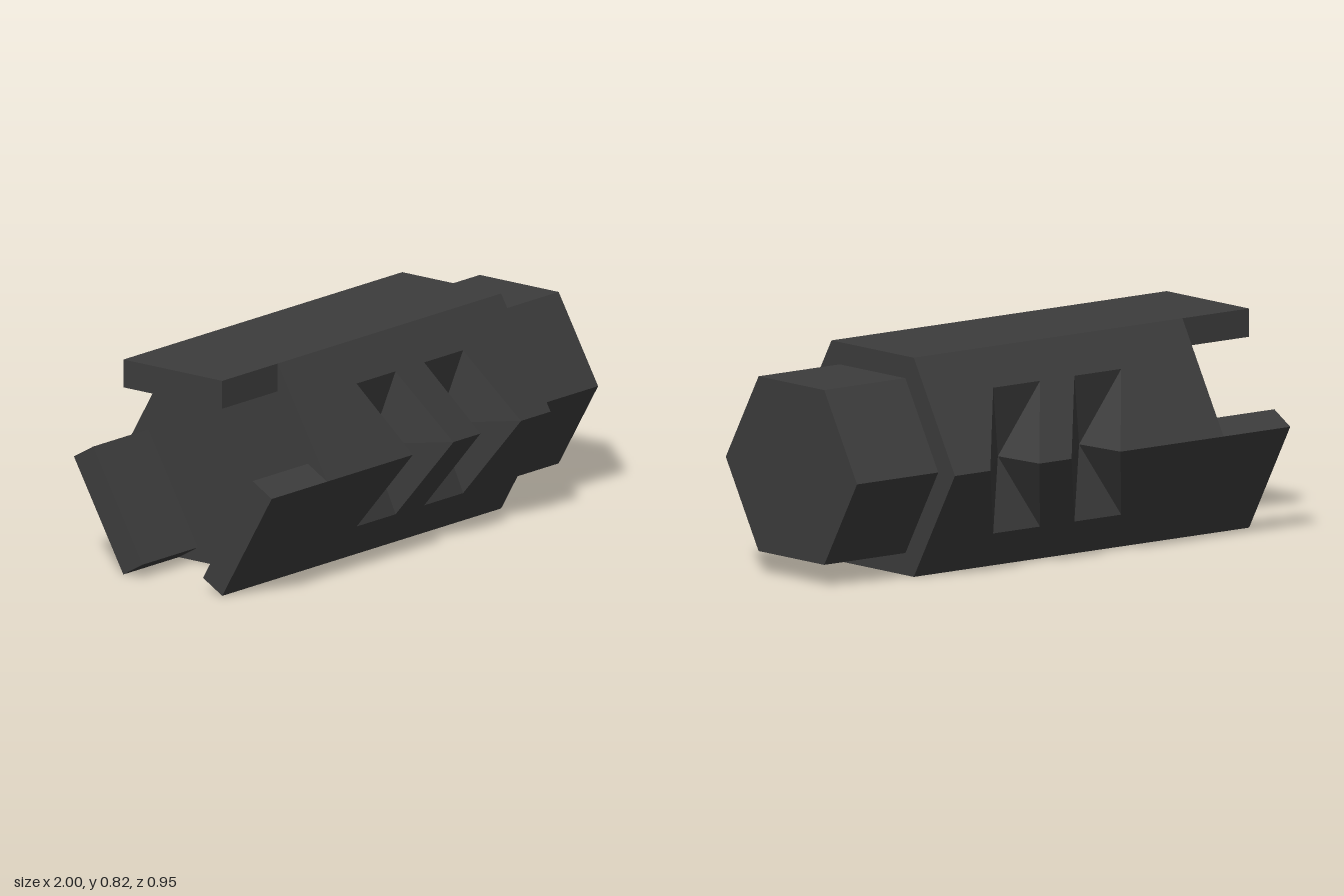
import * as THREE from 'three';

const R = 0.474;                 // hexagon corner radius of the body
const H = R * Math.sqrt(3) / 2;  // centre to flat
const X0 = -0.68, X1 = 0.61;     // solid part of the body
const SHIFTS = [0, 0.39];        // positions of the two notches

const dark = new THREE.MeshStandardMaterial({ color: 0x3c3c3c });
dark.name = 'darkGrey';

function add(parent, geometry, name) {
  const mesh = new THREE.Mesh(geometry, dark);
  mesh.name = name;
  parent.add(mesh);
  return mesh;
}

// Triangles from corner points, mirrored in y and z, with flat normals
function mirrored(triangles, sy, sz) {
  const pos = [];
  for (const t of triangles) {
    const corners = sy * sz < 0 ? [t[0], t[2], t[1]] : t;
    for (const [x, y, z] of corners) pos.push(x, y * sy, z * sz);
  }
  const g = new THREE.BufferGeometry();
  g.setAttribute('position', new THREE.Float32BufferAttribute(pos, 3));
  g.computeVertexNormals();
  return g;
}

// Height on a slanted side gives its depth
const onSide = (x, y) => [x, y, R - y / Math.sqrt(3)];

// Slanted side with two notch openings cut from its corner edge
function sideTriangles() {
  const outline = [[X0, 0]];
  for (const s of SHIFTS) {
    outline.push([-0.185 + s, 0], [-0.32 + s, 0.273], [-0.095 + s, 0.273], [0.05 + s, 0]);
  }
  outline.push([X1, 0], [X1, H], [X0, H]);
  const pts = outline.map(([x, y]) => new THREE.Vector2(x, y));
  return THREE.ShapeUtils.triangulateShape(pts, []).map((f) => {
    const t = f.map((i) => pts[i]);
    const area = (t[1].x - t[0].x) * (t[2].y - t[0].y) - (t[2].x - t[0].x) * (t[1].y - t[0].y);
    if (area < 0) t.reverse();
    return t.map((p) => onSide(p.x, p.y));
  });
}

// Half of one chevron notch: three faces running down to a deep point
function notchTriangles(s) {
  const a = onSide(-0.32 + s, 0.273);
  const b = onSide(-0.095 + s, 0.273);
  const d = onSide(-0.185 + s, 0);
  const e = onSide(0.05 + s, 0);
  const c = [-0.167 + s, 0, 0.257];
  return [[a, c, b], [b, c, e], [d, c, a]];
}

export function createModel() {
  const model = new THREE.Group();
  model.name = 'hexCoupling';
  const parts = new THREE.Group();
  parts.name = 'coupling';
  parts.position.y = H;
  model.add(parts);

  // Four slanted sides and their chevron notches
  const body = new THREE.Group();
  body.name = 'body';
  parts.add(body);
  const side = sideTriangles();
  for (const sy of [1, -1]) {
    for (const sz of [1, -1]) {
      add(body, mirrored(side, sy, sz), 'slantedSide');
      for (const s of SHIFTS) add(body, mirrored(notchTriangles(s), sy, sz), 'chevronNotch');
    }
    // Flat top and bottom
    const flat = add(body, new THREE.PlaneGeometry(X1 - X0, R), sy > 0 ? 'topFace' : 'bottomFace');
    flat.rotation.x = -sy * Math.PI / 2;
    flat.position.set((X0 + X1) / 2, sy * H, 0);
    // Hexagonal ends
    const end = add(body, new THREE.CircleGeometry(R, 6), 'endFace');
    end.rotation.y = sy * Math.PI / 2;
    end.position.x = sy > 0 ? X1 : X0;
  }

  // Smaller hexagonal plug
  const plug = new THREE.CylinderGeometry(0.378, 0.378, 1 - X1, 6).toNonIndexed();
  plug.computeVertexNormals();
  plug.rotateZ(-Math.PI / 2);
  add(parts, plug, 'plug').position.x = (1 + X1) / 2;

  // Three flat prongs around the open end
  const thick = 0.106;
  for (let i = 0; i < 3; i++) {
    const prong = new THREE.BoxGeometry(X0 + 1, thick, R);
    prong.translate((X0 - 1) / 2, H - thick / 2, 0);
    prong.rotateX(i * Math.PI * 2 / 3);
    add(parts, prong, 'prong');
  }
  return model;
}
